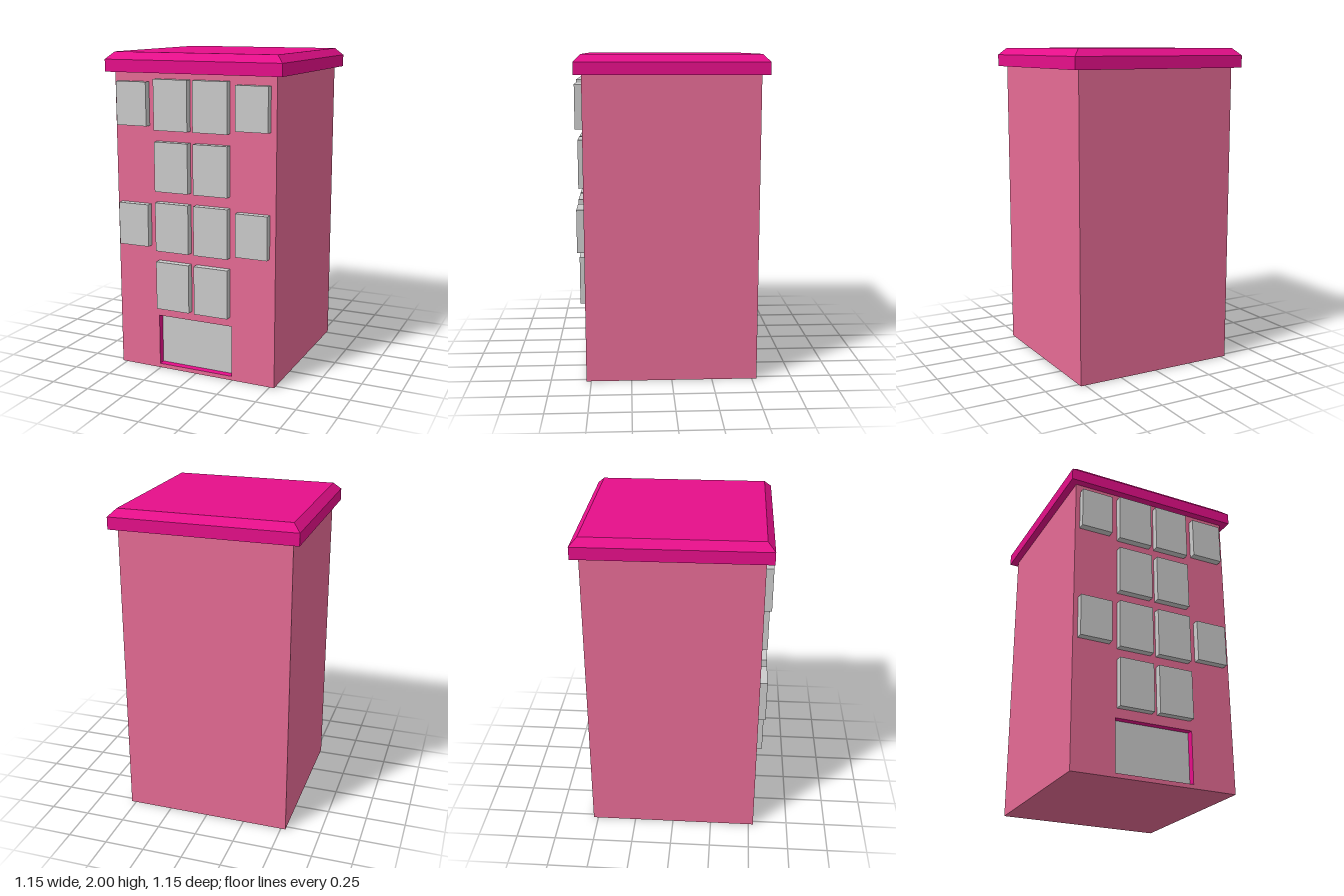
import * as THREE from 'three';

const HALF = 0.53, WALL_TOP = 1.88, PROUD = 0.575, RECESS = 0.045;
const DOOR = { x: -0.004, y: 0.189, w: 0.5, h: 0.326 };

// Box without its +z face
function openBox(w, h, d) {
  const geo = new THREE.BoxGeometry(w, h, d);
  const index = Array.from(geo.index.array);
  index.splice(24, 6);
  geo.setIndex(index);
  geo.clearGroups();
  return geo;
}

export function createModel() {
  const model = new THREE.Group();
  const wallMat = new THREE.MeshStandardMaterial({ color: 0xe66b95 });
  const roofMat = new THREE.MeshStandardMaterial({ color: 0xe60f8a, flatShading: true });
  const revealMat = new THREE.MeshStandardMaterial({ color: 0xe60f8a, side: THREE.DoubleSide });
  const greyMat = new THREE.MeshStandardMaterial({ color: 0xcccccc });

  const add = (name, geo, mat, x = 0, y = 0, z = 0, parent = model) => {
    const mesh = new THREE.Mesh(geo, mat);
    mesh.name = name;
    mesh.position.set(x, y, z);
    parent.add(mesh);
    return mesh;
  };

  // Side, back, top and bottom walls
  add('walls', openBox(2 * HALF, WALL_TOP, 2 * HALF), wallMat, 0, WALL_TOP / 2, 0);

  // Front wall with the doorway cut out
  const rect = (path, x0, y0, x1, y1) =>
    path.moveTo(x0, y0).lineTo(x1, y0).lineTo(x1, y1).lineTo(x0, y1).closePath();
  const front = rect(new THREE.Shape(), -HALF, 0, HALF, WALL_TOP);
  front.holes.push(rect(new THREE.Path(), DOOR.x - DOOR.w / 2, DOOR.y - DOOR.h / 2,
    DOOR.x + DOOR.w / 2, DOOR.y + DOOR.h / 2));
  add('frontWall', new THREE.ShapeGeometry(front), wallMat, 0, 0, HALF);

  // Recessed doorway: coloured reveal and grey door
  add('doorReveal', openBox(DOOR.w, DOOR.h, RECESS), revealMat, DOOR.x, DOOR.y, HALF - RECESS / 2);
  add('door', new THREE.PlaneGeometry(DOOR.w, DOOR.h), greyMat, DOOR.x, DOOR.y, HALF - RECESS + 0.002);

  // Overhanging flat roof with a bevelled top edge
  const r = Math.SQRT2;
  const profile = [[0, WALL_TOP], [PROUD * r, WALL_TOP], [PROUD * r, 1.955], [HALF * r, 2], [0, 2]]
    .map(([x, y]) => new THREE.Vector2(x, y));
  const roofGeo = new THREE.LatheGeometry(profile, 4, Math.PI / 4).toNonIndexed();
  roofGeo.computeVertexNormals();
  add('roof', roofGeo, roofMat);

  // Projecting window panels
  const windows = new THREE.Group();
  windows.name = 'windows';
  model.add(windows);
  const addWindow = (name, x, y, w, h) =>
    add(name, new THREE.BoxGeometry(w, h, PROUD - HALF), greyMat, x, y, (PROUD + HALF) / 2, windows);
  for (const side of [-1, 1]) {
    for (let row = 0; row < 4; row++) {
      addWindow('middleWindow', -0.004 + side * 0.13, 0.565 + row * 0.3755, 0.224, 0.306);
    }
    for (const y of [0.942, 1.693]) {
      addWindow('sideWindow', -0.004 + side * 0.395, y, 0.204, 0.266);
    }
  }

  return model;
}
